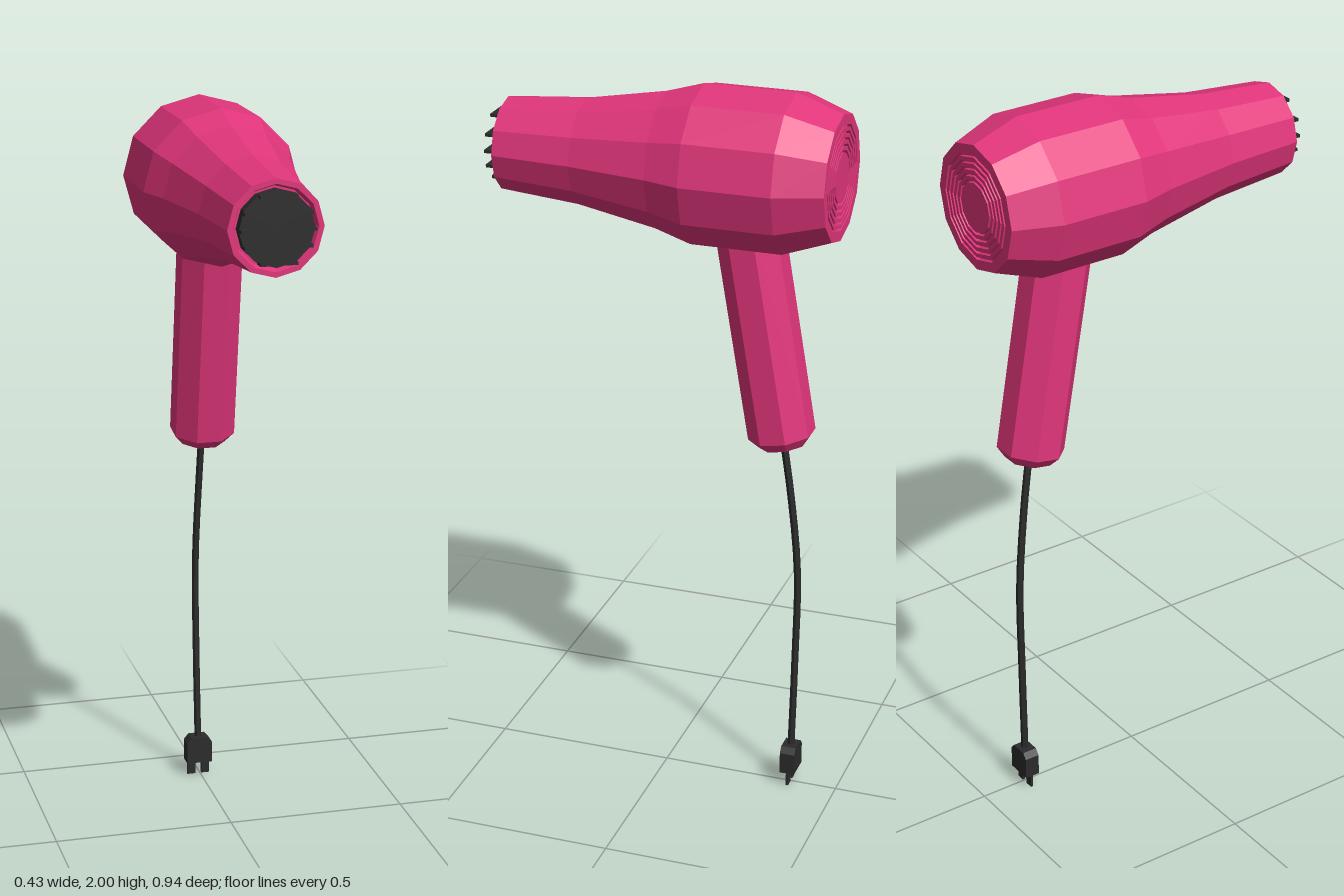
import * as THREE from 'three';

const pink = new THREE.MeshStandardMaterial({ color: 0xe0357a, flatShading: true });
const dark = new THREE.MeshStandardMaterial({ color: 0x2b2b2b, flatShading: true });
const AXIS_Y = 1.79;

function add(parent, name, geometry, material, x = 0, y = 0, z = 0) {
  const mesh = new THREE.Mesh(geometry, material);
  mesh.name = name;
  mesh.position.set(x, y, z);
  parent.add(mesh);
  return mesh;
}

// Turned shape; points are [radius, height]
function lathe(points, sides, start = 0) {
  return new THREE.LatheGeometry(points.map(p => new THREE.Vector2(...p)), sides, start);
}

export function createModel() {
  const group = new THREE.Group();

  // Rear intake: concentric grooves around a flat centre disc
  const rear = [[0, -0.47], [0.066, -0.47]];
  for (let i = 0; i < 5; i++) {
    const r = 0.066 + i * 0.017;
    rear.push([r, -0.458], [r + 0.007, -0.458], [r + 0.007, -0.47], [r + 0.017, -0.47]);
  }

  // Barrel, from the rear to the recessed nozzle
  const body = lathe([
    ...rear,
    [0.168, -0.47], [0.213, -0.345], [0.213, -0.1], [0.183, 0], [0.143, 0.22],
    [0.125, 0.44], [0.111, 0.44], [0.104, 0.42], [0, 0.42],
  ], 12);
  body.rotateX(Math.PI / 2);
  add(group, 'body', body, pink, 0, AXIS_Y, 0);

  // Nozzle grille: plate with horizontal slats
  const grille = new THREE.Group();
  grille.name = 'grille';
  grille.position.set(0, AXIS_Y, 0);
  group.add(grille);
  const plate = new THREE.CylinderGeometry(0.098, 0.098, 0.04, 12);
  plate.rotateX(Math.PI / 2);
  add(grille, 'grillePlate', plate, dark, 0, 0, 0.43);
  for (let i = -2; i <= 2; i++) {
    const y = i * 0.042;
    const width = 2 * Math.sqrt(0.097 ** 2 - y * y);
    add(grille, 'grilleSlat', new THREE.BoxGeometry(width, 0.008, 0.03), dark, 0, y, 0.457);
  }

  // Tilted octagonal handle with a bevelled foot
  const R = 0.091;
  const handle = add(group, 'handle',
    lathe([[0, 0], [0.066, 0], [R, 0.028], [R, 0.66], [0, 0.66]], 8, Math.PI / 8),
    pink, 0, 1.034, -0.328);
  handle.rotation.x = THREE.MathUtils.degToRad(9.7);

  // Hanging cord
  const path = new THREE.CatmullRomCurve3([
    [0, 1.06, -0.325], [-0.003, 0.93, -0.345], [-0.009, 0.66, -0.372],
    [-0.008, 0.38, -0.371], [-0.005, 0.1, -0.366],
  ].map(p => new THREE.Vector3(...p)));
  add(group, 'cord', new THREE.TubeGeometry(path, 14, 0.01, 6), dark);

  // Plug with cut upper corners and two flat prongs
  const plug = new THREE.Group();
  plug.name = 'plug';
  plug.position.set(-0.005, 0, -0.366);
  group.add(plug);
  const outline = new THREE.Shape([
    [-0.037, 0.04], [0.037, 0.04], [0.037, 0.102], [0.024, 0.118], [-0.024, 0.118], [-0.037, 0.102],
  ].map(p => new THREE.Vector2(...p)));
  const block = new THREE.ExtrudeGeometry(outline, { depth: 0.042, bevelEnabled: false });
  add(plug, 'plugBlock', block, dark, 0, 0, -0.021);
  for (const side of [-1, 1]) {
    add(plug, 'prong', new THREE.BoxGeometry(0.024, 0.05, 0.007), dark, side * 0.021, 0.025, 0);
  }

  return group;
}
